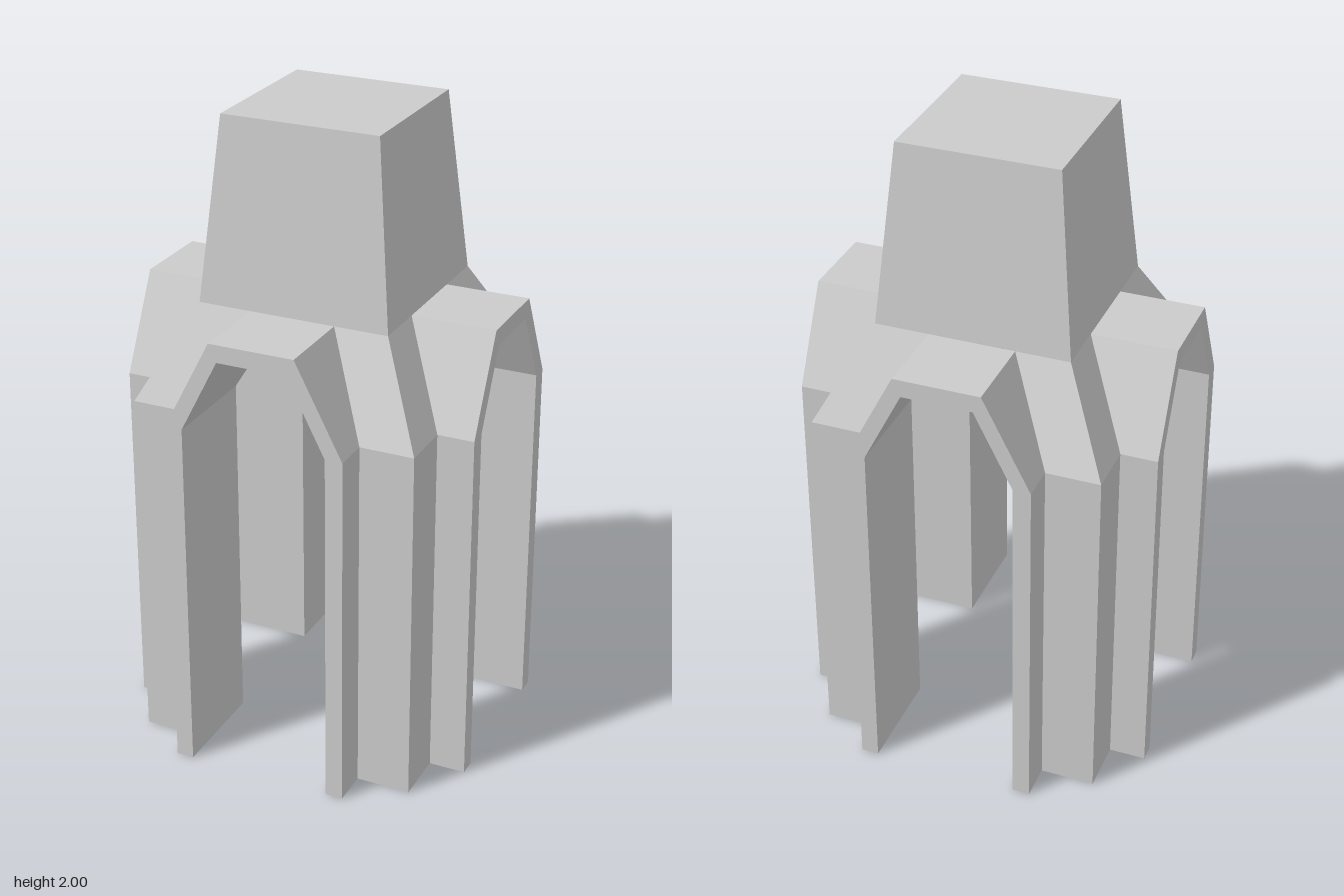
import * as THREE from 'three';

const material = new THREE.MeshStandardMaterial({ color: 0xcccccc, flatShading: true });

// Flat panels joining two point rows of equal length
function strip(name, a, b) {
  const pos = [];
  for (let i = 0; i < a.length - 1; i++) {
    for (const p of [a[i], a[i + 1], b[i + 1], a[i], b[i + 1], b[i]]) pos.push(...p);
  }
  const geo = new THREE.BufferGeometry();
  geo.setAttribute('position', new THREE.Float32BufferAttribute(pos, 3));
  geo.computeVertexNormals();
  return part(name, geo);
}

function part(name, geo) {
  const mesh = new THREE.Mesh(geo, material);
  mesh.name = name;
  return mesh;
}

const END = 0.57, SPRING = 1.14, ROOF = 1.43, CEILING = 1.375, TOP = 2;
const OUT = 0.285, OUT_TOP = 0.135; // arch outside half widths
const IN = 0.23, IN_TOP = 0.11; // arch opening half widths
const CORE = 0.455, CORE_TOP = 0.305; // core half widths

// Arch outline from left foot to right foot; z given for the lower and upper points
const arch = (low, high, top, zLow, zHigh) => [
  [-low, 0, zLow], [-low, SPRING, zLow], [-high, top, zHigh],
  [high, top, zHigh], [low, SPRING, zLow], [low, 0, zLow],
];

// One of the four equal sides
function createSide() {
  const side = new THREE.Group();
  const outer = arch(OUT, OUT_TOP, ROOF, END, END);
  const outerBack = arch(OUT, OUT_TOP, ROOF, CORE, CORE_TOP);
  const inner = arch(IN, IN_TOP, CEILING, END, END);
  const innerBack = arch(IN, IN_TOP, CEILING, IN, IN_TOP);
  side.add(
    strip('archOutside', outer, outerBack),
    strip('archRim', inner, outer),
    strip('vault', innerBack, inner),
  );

  // Core wall and sloped shoulder either side of the arch
  for (const s of [1, -1]) {
    const near = [[s * OUT, 0, CORE], [s * OUT, SPRING, CORE], [s * OUT_TOP, ROOF, CORE_TOP]];
    const far = [[s * CORE, 0, CORE], [s * CORE, SPRING, CORE], [s * CORE_TOP, ROOF, CORE_TOP]];
    side.add(s > 0 ? strip('coreWallLeft', far, near) : strip('coreWallRight', near, far));
  }

  // Stepped underside of one leg
  const outline = [
    [IN, IN], [END, IN], [END, OUT], [CORE, OUT],
    [CORE, CORE], [OUT, CORE], [OUT, END], [IN, END],
  ].map(([x, z]) => new THREE.Vector2(x, z));
  side.add(part('legFoot', new THREE.ShapeGeometry(new THREE.Shape(outline)).rotateX(Math.PI / 2)));
  return side;
}

export function createModel() {
  const model = new THREE.Group();
  model.name = 'archedTower';

  ['front', 'left', 'back', 'right'].forEach((name, i) => {
    const side = createSide();
    side.name = name + 'Arch';
    side.rotation.y = i * Math.PI / 2;
    model.add(side);
  });

  // Flat ceiling where the vaults cross
  const ceiling = part('ceiling', new THREE.PlaneGeometry(2 * IN_TOP, 2 * IN_TOP).rotateX(Math.PI / 2));
  ceiling.position.y = CEILING;
  model.add(ceiling);

  // Tapered square tower
  const tower = part('tower', new THREE.CylinderGeometry(
    0.25 * Math.SQRT2, CORE_TOP * Math.SQRT2, TOP - ROOF, 4).rotateY(Math.PI / 4));
  tower.position.y = (TOP + ROOF) / 2;
  model.add(tower);

  return model;
}
